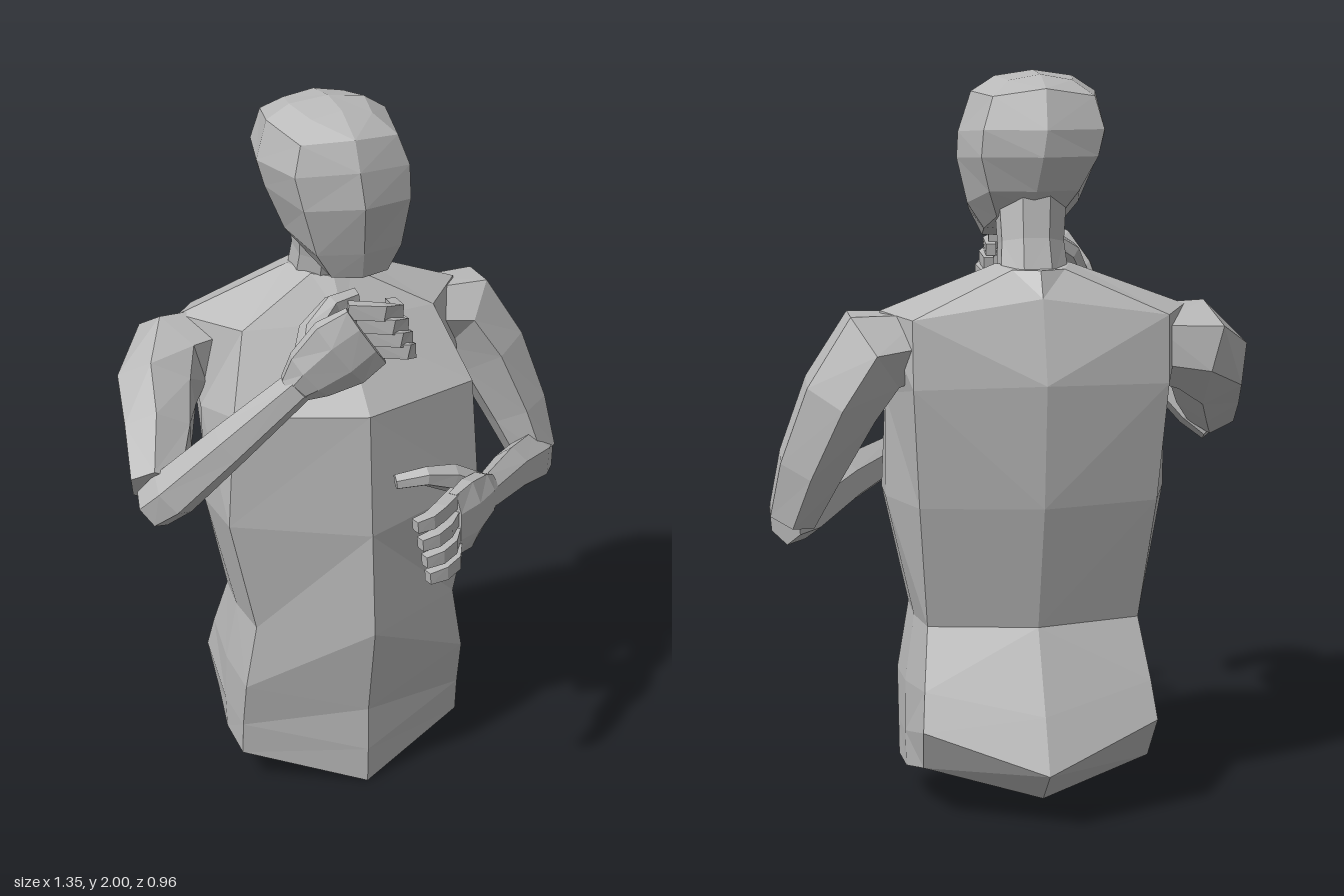
import * as THREE from 'three';

const V = (a) => new THREE.Vector3(a[0], a[1], a[2]);

// Skin equal-length rings of points into a closed, faceted surface
function skin(rings, startTip, endTip) {
  const pos = [];
  const tri = (...pts) => pts.forEach((p) => pos.push(p.x, p.y, p.z));
  // Split along the shorter diagonal, so mirrored sides match
  const quad = (a, b, c, d) => {
    if (a.distanceTo(c) < b.distanceTo(d)) { tri(a, b, c); tri(a, c, d); }
    else { tri(a, b, d); tri(b, c, d); }
  };
  const n = rings[0].length;
  const last = rings[rings.length - 1];
  const middle = (r) => r.reduce((s, p) => s.add(p), new THREE.Vector3()).divideScalar(n);
  const start = startTip || middle(rings[0]);
  const end = endTip || middle(last);
  for (let j = 0; j < n; j++) {
    const k = (j + 1) % n;
    tri(start, rings[0][k], rings[0][j]);
    for (let i = 0; i < rings.length - 1; i++) quad(rings[i][j], rings[i][k], rings[i + 1][k], rings[i + 1][j]);
    tri(end, last[j], last[k]);
  }
  const g = new THREE.BufferGeometry();
  g.setAttribute('position', new THREE.Float32BufferAttribute(pos, 3));
  g.computeVertexNormals();
  return g;
}

// Mirrored section: front centre, front corner, side, back corner, back centre
function bodyRing(cx, half) {
  const right = half.slice(1, 4).reverse().map(([x, y, z]) => [-x, y, z]);
  return [...half, ...right].map(([x, y, z]) => new THREE.Vector3(x + cx, y, z));
}

// Elliptical rings along a path; each row is x, y, z, width radius, hint-axis radius
function limb(rows, hint, sides = 6) {
  const c = rows.map(V);
  const rings = rows.map((row, i) => {
    const t = c[Math.min(i + 1, c.length - 1)].clone().sub(c[Math.max(i - 1, 0)]).normalize();
    const v = V(hint).addScaledVector(t, -V(hint).dot(t)).normalize();
    const u = v.clone().cross(t);
    return Array.from({ length: sides }, (_, j) => {
      const q = ((j + 0.5) / sides) * Math.PI * 2;
      return c[i].clone().addScaledVector(u, Math.cos(q) * row[3]).addScaledVector(v, Math.sin(q) * row[4]);
    });
  });
  return skin(rings);
}

export function createModel() {
  const model = new THREE.Group();
  const grey = new THREE.MeshStandardMaterial({ color: 0xb8b8b8 });
  grey.name = 'grey';
  const add = (name, geometry, parent = model) => {
    const m = new THREE.Mesh(geometry, grey);
    m.name = name;
    parent.add(m);
  };
  const Y = [0, 1, 0], Z = [0, 0, 1];

  // Torso, from the pelvis up to the base of the neck
  const torso = [
    [[0, 0.005, 0.125], [0.335, 0.1, -0.01], [0.335, 0.11, -0.15], [0.31, 0.15, -0.3], [0, 0.075, -0.39]],
    [[0, 0.115, 0.13], [0.335, 0.2, 0], [0.338, 0.21, -0.15], [0.32, 0.27, -0.37], [0, 0.165, -0.48]],
    [[0, 0.25, 0.13], [0.333, 0.34, 0.03], [0.335, 0.35, -0.14], [0.31, 0.37, -0.33], [0, 0.31, -0.42]],
    [[0, 0.52, 0.18], [0.3, 0.53, 0.035], [0.307, 0.53, -0.12], [0.29, 0.53, -0.255], [0, 0.53, -0.32]],
    [[0, 0.82, 0.16], [0.372, 0.86, 0.035], [0.385, 0.87, -0.14], [0.32, 0.87, -0.33], [0, 0.87, -0.4]],
    [[0, 1.17, 0.14], [0.35, 1.18, 0.03], [0.385, 1.15, -0.15], [0.34, 1.19, -0.37], [0, 1.2, -0.43]],
    [[0, 1.375, -0.05], [0.28, 1.375, -0.09], [0.41, 1.385, -0.25], [0.34, 1.37, -0.36], [0, 1.42, -0.37]],
    [[0, 1.48, -0.13], [0.06, 1.49, -0.15], [0.1, 1.5, -0.23], [0.07, 1.49, -0.31], [0, 1.49, -0.34]],
  ].map((r) => bodyRing(-0.025, r));
  add('torso', skin(torso, new THREE.Vector3(-0.025, 0.02, -0.145)));

  // Neck
  add('neck', limb([[-0.025, 1.44, -0.235, 0.1, 0.09], [-0.025, 1.55, -0.205, 0.09, 0.085], [-0.03, 1.7, -0.17, 0.1, 0.095]], Z, 8));

  // Head, leaning slightly towards its right at the crown
  const head = [
    [-0.02, [[0, 1.545, 0.07], [0.08, 1.55, 0.05], [0.1, 1.58, -0.09], [0.085, 1.62, -0.2], [0, 1.65, -0.25]]],
    [-0.025, [[0, 1.62, 0.095], [0.12, 1.62, 0.06], [0.152, 1.65, -0.1], [0.12, 1.69, -0.255], [0, 1.69, -0.285]]],
    [-0.035, [[0, 1.755, 0.13], [0.15, 1.75, 0.075], [0.192, 1.77, -0.11], [0.155, 1.78, -0.28], [0, 1.78, -0.325]]],
    [-0.045, [[0, 1.85, 0.118], [0.16, 1.84, 0.065], [0.2, 1.84, -0.12], [0.16, 1.85, -0.285], [0, 1.85, -0.325]]],
    [-0.048, [[0, 1.93, 0.09], [0.135, 1.92, 0.05], [0.168, 1.945, -0.12], [0.135, 1.935, -0.265], [0, 1.955, -0.29]]],
    [-0.05, [[0, 1.985, 0], [0.085, 1.97, 0], [0.105, 1.985, -0.11], [0.085, 1.975, -0.21], [0, 1.99, -0.21]]],
  ].map(([cx, r]) => bodyRing(cx, r));
  add('head', skin(head, null, new THREE.Vector3(-0.05, 2, -0.1)));

  // Left arm, bent across the belly
  const leftArm = new THREE.Group();
  leftArm.name = 'leftArm';
  model.add(leftArm);
  add('leftUpperArm', limb([
    [0.27, 1.3, -0.25, 0.09, 0.1], [0.405, 1.285, -0.255, 0.13, 0.125],
    [0.49, 1.155, -0.24, 0.115, 0.125], [0.57, 0.97, -0.205, 0.095, 0.105], [0.615, 0.83, -0.17, 0.07, 0.085],
  ], Z), leftArm);
  add('leftForearm', limb([
    [0.635, 0.82, -0.175, 0.055, 0.07], [0.585, 0.83, -0.12, 0.065, 0.08],
    [0.45, 0.88, 0.03, 0.055, 0.07], [0.28, 0.92, 0.22, 0.04, 0.055],
  ], Y), leftArm);
  add('leftPalm', limb([
    [0.3, 0.92, 0.2, 0.035, 0.055], [0.26, 0.925, 0.24, 0.045, 0.08],
    [0.19, 0.92, 0.305, 0.045, 0.108], [0.125, 0.92, 0.355, 0.03, 0.1],
  ], Y, 8), leftArm);
  add('leftThumb', limb([
    [0.26, 0.95, 0.22, 0.035, 0.04], [0.17, 1.0, 0.235, 0.035, 0.04],
    [0.09, 1.025, 0.25, 0.03, 0.028], [0.01, 1.015, 0.235, 0.024, 0.022],
  ], Y), leftArm);

  // Right arm, raised with the hand near the chin
  const rightArm = new THREE.Group();
  rightArm.name = 'rightArm';
  model.add(rightArm);
  add('rightUpperArm', limb([
    [-0.32, 1.29, -0.255, 0.1, 0.1], [-0.455, 1.275, -0.25, 0.13, 0.125],
    [-0.53, 1.21, -0.16, 0.115, 0.125], [-0.565, 1.13, -0.04, 0.1, 0.115], [-0.61, 1.04, 0.08, 0.075, 0.08],
  ], Y), rightArm);
  add('rightForearm', limb([
    [-0.63, 0.99, 0.1, 0.065, 0.06], [-0.58, 1.04, 0.13, 0.08, 0.07],
    [-0.44, 1.19, 0.2, 0.065, 0.06], [-0.275, 1.36, 0.275, 0.045, 0.045],
  ], Y), rightArm);
  add('rightPalm', limb([
    [-0.29, 1.35, 0.265, 0.04, 0.045], [-0.25, 1.39, 0.285, 0.045, 0.08],
    [-0.18, 1.45, 0.315, 0.045, 0.11], [-0.115, 1.495, 0.335, 0.03, 0.1],
  ], [-0.45, 0.89, 0], 8), rightArm);
  add('rightThumb', limb([
    [-0.26, 1.4, 0.27, 0.035, 0.035], [-0.22, 1.48, 0.22, 0.035, 0.035],
    [-0.15, 1.53, 0.185, 0.028, 0.028], [-0.08, 1.54, 0.175, 0.022, 0.024],
  ], Y), rightArm);

  // Four curled fingers on each hand, index first
  for (let i = 0; i < 4; i++) {
    const bow = Math.sin((i + 0.5) / 4 * Math.PI) * 0.01;
    const y = 0.99 - 0.048 * i, z = bow + 0.008 * i;
    add('leftFinger' + (i + 1), limb([
      [0.15, y, 0.325, 0.026, 0.029], [0.07 + 0.01 * i, y + 0.004, 0.4 + z, 0.026, 0.028],
      [0.025 + 0.01 * i, y, 0.432 + z, 0.024, 0.027], [-0.02 + 0.009 * i, y - 0.004, 0.44 + z, 0.02, 0.023],
    ], Y, 4), leftArm);
    const x = -0.145 + 0.022 * i, h = 1.565 - 0.038 * i;
    add('rightFinger' + (i + 1), limb([
      [x - 0.015, h, 0.32, 0.025, 0.028], [x + 0.07, h - 0.008, 0.34 + bow, 0.025, 0.028],
      [x + 0.125 - 0.01 * i, h - 0.028, 0.305 + bow, 0.024, 0.027], [x + 0.14 - 0.016 * i, h - 0.038, 0.225 + bow, 0.02, 0.023],
    ], Y, 4), rightArm);
  }
  return model;
}
